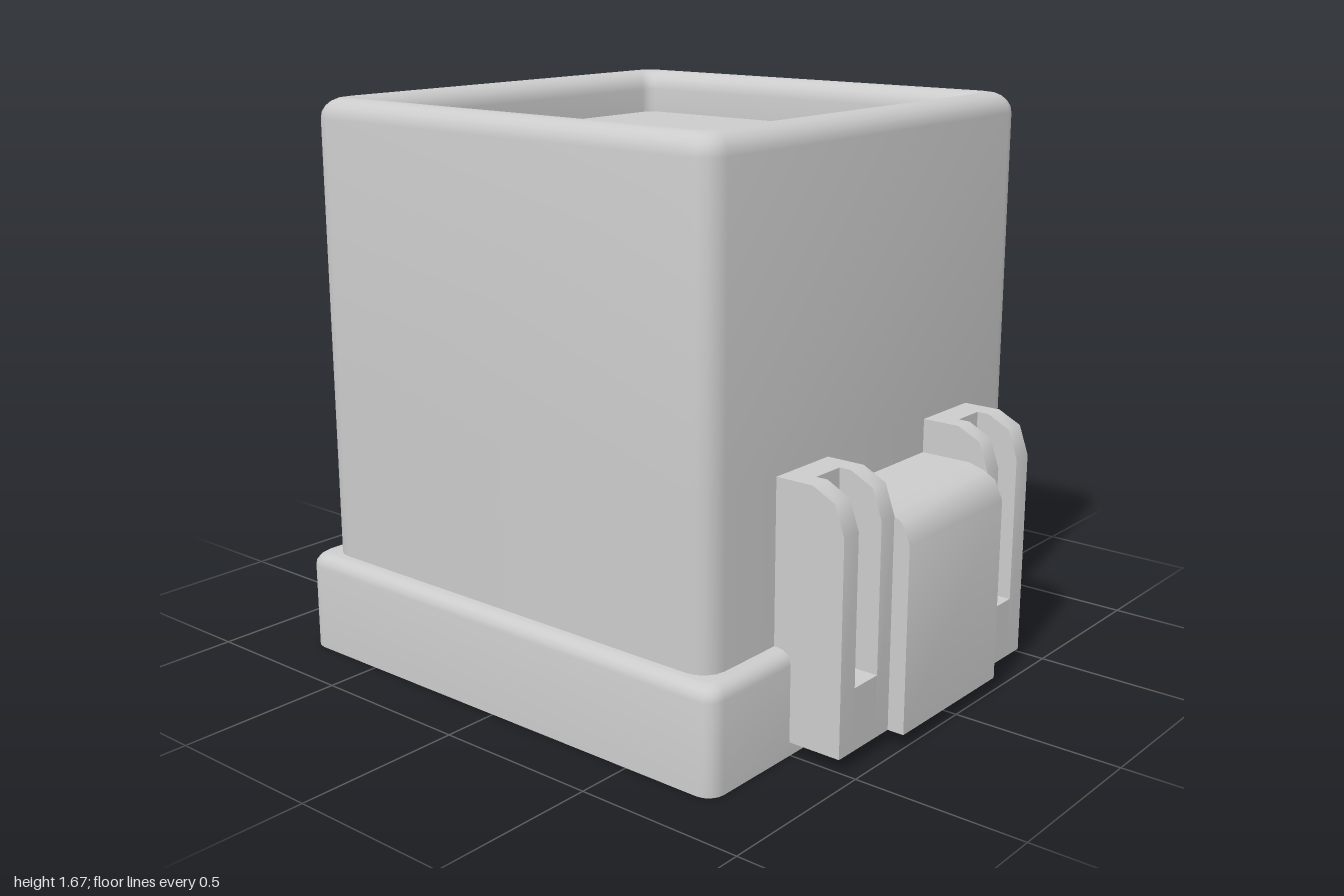
import * as THREE from 'three';
import { toCreasedNormals } from 'three/addons/utils/BufferGeometryUtils.js';

// Every part is a thin skin, open underneath
const grey = new THREE.MeshStandardMaterial({ color: 0xcccccc, side: THREE.DoubleSide });

const FOOT = 0.04; // lower edge of everything but the base
const DOOR = { half: 0.29, bottom: 0.3, top: 0.78, z: -0.685, end: -0.2 };
const DOOR_SEGMENT = 10; // ring segment between the two door jambs

function addMesh(parent, name, geometry) {
  const mesh = new THREE.Mesh(geometry, grey);
  mesh.name = name;
  parent.add(mesh);
}

// Joins equal-length rings into a skin; skip(level, segment) leaves a hole
function skin(rings, { capEnd = true, skip = () => false } = {}) {
  const n = rings[0].length;
  const verts = rings.flat();
  const index = [];
  for (let l = 0; l < rings.length - 1; l++) {
    for (let i = 0; i < n; i++) {
      if (skip(l, i)) continue;
      const a = l * n + i, b = l * n + (i + 1) % n;
      index.push(a, b, b + n, a, b + n, a + n);
    }
  }
  if (capEnd) {
    const first = verts.length - n, c = verts.length;
    verts.push(rings.at(-1).reduce((s, p) => s.add(p), new THREE.Vector3()).divideScalar(n));
    for (let i = 0; i < n; i++) index.push(c, first + i, first + (i + 1) % n);
  }
  const geometry = new THREE.BufferGeometry().setFromPoints(verts);
  geometry.setIndex(index);
  return toCreasedNormals(geometry, 0.7);
}

// Horizontal rounded rectangle, with two extra points at the door jambs
function ring(half, back, front, rBack, rFront, inset, y) {
  const w = half - inset, z0 = back + inset, z1 = front - inset;
  const points = [];
  [[1, 1], [1, -1], [-1, -1], [-1, 1]].forEach(([sx, sz], k) => {
    const r = Math.max(0.04, (sz > 0 ? rFront : rBack) - inset * 0.4);
    const cx = sx * (w - r), cz = sz > 0 ? z1 - r : z0 + r;
    for (let i = 0; i <= 4; i++) {
      const a = (k - 1 + i / 4) * Math.PI / 2;
      points.push(new THREE.Vector3(cx + r * Math.cos(a), y, cz - r * Math.sin(a)));
    }
    if (k === 1) {
      points.push(new THREE.Vector3(DOOR.half, y, z0), new THREE.Vector3(-DOOR.half, y, z0));
    }
  });
  return points;
}

// Tall body with a rounded rim, a sunken top and a doorway in the back
function bodyGeometry() {
  const levels = [[0, FOOT], [0, DOOR.bottom], [0, DOOR.top]];
  for (let i = 0; i <= 10; i++) {
    const a = Math.PI * i / 10;
    levels.push([0.06 - 0.06 * Math.cos(a), 1.615 + 0.06 * Math.sin(a)]);
  }
  levels.push([0.12, 1.54]);
  const rings = levels.map(([d, y]) => ring(0.735, -0.685, 0.785, 0.07, 0.07, d, y));
  return skin(rings, { skip: (l, i) => l === 1 && i === DOOR_SEGMENT });
}

// Base tray, hollow underneath, with a softened top edge
function baseGeometry() {
  const levels = [[0, 0]];
  for (let i = 0; i <= 4; i++) {
    const a = Math.PI / 2 * i / 4;
    levels.push([0.04 - 0.04 * Math.cos(a), 0.26 + 0.04 * Math.sin(a)]);
  }
  return skin(levels.map(([d, y]) => ring(0.79, -0.737, 0.835, 0.1, 0.05, d, y)));
}

// Door frame: a rounded section swept over an upside-down U
function frameGeometry() {
  const section = [[1, -0.63], [1, -0.785], [0.93, -0.815], [0.76, -0.835],
    [0.24, -0.835], [0.07, -0.815], [0, -0.785], [0, -0.63]];
  const path = (half, top, r) => {
    const points = [[half, FOOT]];
    [1, -1].forEach((s, k) => {
      for (let i = 0; i <= 5; i++) {
        const a = (k + i / 5) * Math.PI / 2;
        points.push([s * (half - r) + r * Math.cos(a), top - r + r * Math.sin(a)]);
      }
    });
    points.push([-half, FOOT]);
    return points;
  };
  const inner = path(0.285, 0.775, 0.05), outer = path(0.49, 0.965, 0.12);
  const mix = THREE.MathUtils.lerp;
  return skin(inner.map(([x, y], s) => section.map(([u, z]) =>
    new THREE.Vector3(mix(x, outer[s][0], u), mix(y, outer[s][1], u), z))), { capEnd: false });
}

// Outline extruded from za to zb, with the faces at the foot left out
function slab(outline, side, za, zb) {
  const shape = new THREE.Shape(outline.map(([x, y]) => new THREE.Vector2(side * x, y)));
  const solid = new THREE.ExtrudeGeometry(shape, { depth: Math.abs(zb - za), bevelEnabled: false });
  solid.translate(0, 0, Math.min(za, zb));
  const p = solid.attributes.position;
  const kept = [];
  for (let i = 0; i < p.count; i += 3) {
    const tri = [0, 1, 2].map((k) => new THREE.Vector3().fromBufferAttribute(p, i + k));
    if (tri.some((v) => v.y > FOOT + 0.001)) kept.push(...tri);
  }
  return toCreasedNormals(new THREE.BufferGeometry().setFromPoints(kept), 0.95);
}

// Side bracket: a central block between two slotted lugs
function bracket(side) {
  const group = new THREE.Group();
  const block = [[0.62, FOOT], [1, FOOT], [1, 0.58], [0.975, 0.635], [0.94, 0.655], [0.89, 0.67], [0.62, 0.67]];
  const cheek = [[0.7, FOOT], [0.95, FOOT], [0.95, 0.65], [0.92, 0.735], [0.85, 0.77], [0.7, 0.77]];
  const core = [[0.7, FOOT], [0.95, FOOT], [0.95, 0.22], [0.815, 0.22], [0.815, 0.77], [0.7, 0.77]];
  const mid = 0.035;
  addMesh(group, 'bracketBlock', slab(block, side, mid - 0.24, mid + 0.24));
  for (const s of [1, -1]) {
    const part = (name, outline, a, b) =>
      addMesh(group, name, slab(outline, side, mid + s * a, mid + s * b));
    part('lugInnerCheek', cheek, 0.24, 0.3);
    part('lugSlotCore', core, 0.3, 0.405);
    part('lugOuterCheek', cheek, 0.405, 0.47);
  }
  return group;
}

// Doorway recess: a box without its open back and its floor
function recessGeometry() {
  const geometry = new THREE.BoxGeometry(2 * DOOR.half, DOOR.top - DOOR.bottom, DOOR.end - DOOR.z);
  const index = Array.from(geometry.index.array);
  geometry.setIndex([...index.slice(0, 18), ...index.slice(24, 30)]);
  geometry.clearGroups();
  return geometry.translate(0, (DOOR.top + DOOR.bottom) / 2, (DOOR.end + DOOR.z) / 2);
}

export function createModel() {
  const model = new THREE.Group();
  model.name = 'boxWithDoorway';
  addMesh(model, 'body', bodyGeometry());
  addMesh(model, 'base', baseGeometry());
  addMesh(model, 'doorFrame', frameGeometry());
  addMesh(model, 'doorRecess', recessGeometry());
  for (const side of [1, -1]) {
    const group = bracket(side);
    group.name = side > 0 ? 'leftBracket' : 'rightBracket';
    model.add(group);
  }
  return model;
}
